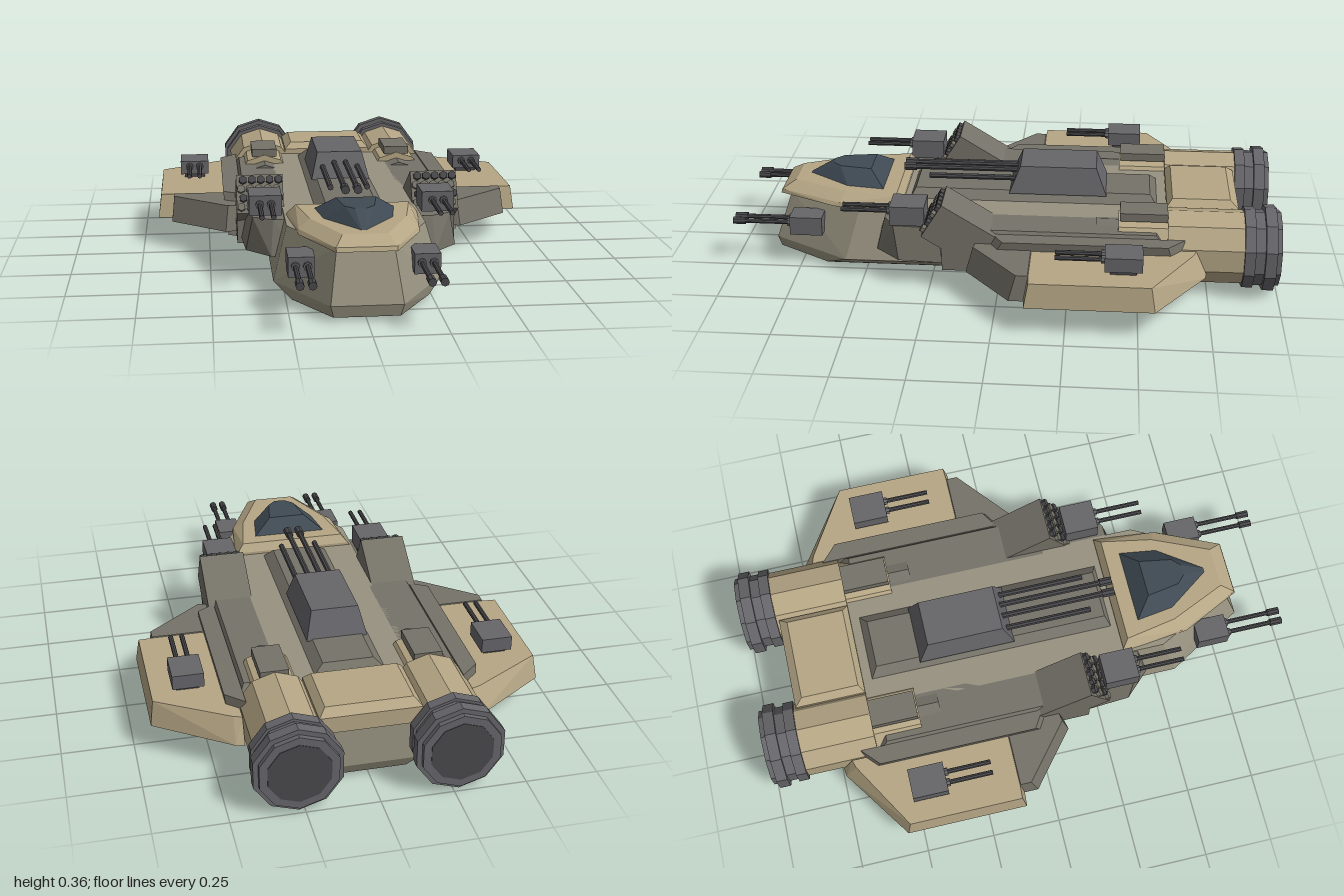
import * as THREE from 'three';
import { ConvexGeometry } from 'three/addons/geometries/ConvexGeometry.js';

const mat = (color) => new THREE.MeshStandardMaterial({ color, flatShading: true });
const HULL = mat(0x97927f), ARMOUR = mat(0x757268), TAN = mat(0xb5a685);
const GUN = mat(0x66666a), DARK = mat(0x48484b), GLASS = mat(0x3f4a54);

export function createModel() {
  const model = new THREE.Group();

  const add = (parent, name, geometry, material, x = 0, y = 0, z = 0) => {
    const mesh = new THREE.Mesh(geometry, material);
    mesh.name = name;
    mesh.position.set(x, y, z);
    parent.add(mesh);
    return mesh;
  };

  // Faceted solid from stacked outlines: levels are [y, [[x, z], ...]]; s = side sign, 0 = both sides
  const facet = (name, material, s, levels) => {
    const pts = [];
    for (const [y, outline] of levels)
      for (const [x, z] of outline)
        for (const k of s ? [s] : [1, -1]) pts.push(new THREE.Vector3(x * k, y, z));
    return add(model, name, new ConvexGeometry(pts), material);
  };

  // Cylinder lying along z between z0 and z1
  const tube = (parent, name, r, x, y, z0, z1, material, sides = 8) =>
    add(parent, name, new THREE.CylinderGeometry(r, r, z1 - z0, sides).rotateX(Math.PI / 2),
      material, x, y, (z0 + z1) / 2);

  const box = (parent, name, w, h, d, x, y, z, material) =>
    add(parent, name, new THREE.BoxGeometry(w, h, d), material, x, y, z);

  // Twin-barrelled turret; z is the front of its housing
  const turret = (name, x, y, z, w, h, d, gap, reach, muzzle) => {
    const g = new THREE.Group();
    g.name = name;
    g.position.set(x, y, z);
    box(g, 'gunHousing', w, h, d, 0, 0, -d / 2, GUN);
    for (const k of [-1, 1]) {
      tube(g, 'barrel', 0.009, k * gap, 0.005, -0.02, reach, DARK);
      tube(g, 'barrelCollar', 0.015, k * gap, 0.005, 0, 0.012, GUN);
      if (muzzle) tube(g, 'muzzle', 0.014, k * gap, 0.005, reach - 0.045, reach, DARK);
    }
    model.add(g);
  };

  // Main hull
  facet('hull', HULL, 0, [
    [0.02, [[0.11, 0.85], [0.235, 0.65], [0.235, -0.6], [0.13, -0.84]]],
    [0.06, [[0.12, 0.86], [0.29, 0.57], [0.29, -0.6], [0.17, -0.86]]],
    [0.24, [[0.095, 0.8], [0.24, 0.52], [0.24, -0.6], [0.16, -0.85]]],
  ]);
  // Dark belly plate
  facet('bellyPlate', DARK, 0, [
    [0.018, [[0.11, 0.848], [0.233, 0.648], [0.233, -0.6], [0.13, -0.838]]],
    [0.024, [[0.11, 0.848], [0.233, 0.648], [0.233, -0.6], [0.13, -0.838]]],
  ]);

  // Cockpit deck and canopy
  facet('cockpitDeck', TAN, 0, [
    [0.235, [[0.1, 0.84], [0.205, 0.62], [0.235, 0.37]]],
    [0.25, [[0.1, 0.835], [0.205, 0.6], [0.225, 0.37]]],
    [0.28, [[0.075, 0.785], [0.165, 0.58], [0.2, 0.39]]],
  ]);
  facet('canopy', GLASS, 0, [
    [0.275, [[0.145, 0.44], [0.125, 0.58], [0.005, 0.75]]],
    [0.33, [[0.07, 0.5], [0.05, 0.62], [0.02, 0.65]]],
  ]);

  // Spine ridge, rear deck panel and main gun turret
  facet('spineRidge', ARMOUR, 0, [
    [0.235, [[0.13, 0.35], [0.13, -0.57]]],
    [0.27, [[0.09, 0.33], [0.09, -0.54]]],
  ]);
  facet('rearDeckPanel', TAN, 0, [
    [0.2, [[0.175, -0.6], [0.175, -0.86]]],
    [0.26, [[0.175, -0.6], [0.175, -0.86]]],
    [0.285, [[0.15, -0.62], [0.15, -0.83]]],
  ]);
  facet('mainTurret', GUN, 0, [
    [0.265, [[0.11, -0.02], [0.11, -0.38]]],
    [0.365, [[0.085, -0.06], [0.085, -0.34]]],
  ]);
  for (const k of [-1, 1]) {
    tube(model, 'mainBarrel', 0.011, k * 0.022, 0.325, -0.1, 0.38, DARK);
    tube(model, 'mainMuzzle', 0.016, k * 0.022, 0.325, 0.335, 0.38, DARK);
    tube(model, 'sideBarrel', 0.011, k * 0.066, 0.31, -0.1, 0.28, DARK);
  }

  for (const s of [-1, 1]) {
    // Side sponson, wing root and forward gun block
    facet('sponson', ARMOUR, s, [
      [0.09, [[0.2, 0.2], [0.4, 0.2], [0.4, -0.6], [0.2, -0.6]]],
      [0.19, [[0.2, 0.2], [0.4, 0.2], [0.4, -0.6], [0.2, -0.6]]],
      [0.24, [[0.22, 0.17], [0.37, 0.17], [0.37, -0.56], [0.22, -0.56]]],
    ]);
    facet('wingRoot', ARMOUR, s, [
      [0.085, [[0.38, 0.1], [0.43, 0.07], [0.43, -0.64], [0.38, -0.67]]],
      [0.23, [[0.38, 0.02], [0.445, -0.02], [0.445, -0.6], [0.38, -0.66]]],
    ]);
    facet('gunBlock', ARMOUR, s, [
      [0.11, [[0.2, 0.46], [0.29, 0.45], [0.375, 0.36], [0.385, 0.2], [0.2, 0.2]]],
      [0.235, [[0.2, 0.42], [0.28, 0.42], [0.35, 0.38], [0.36, 0.22], [0.2, 0.22]]],
    ]);

    // Wing: tan main plate with grey leading section
    facet('wing', TAN, s, [
      [0.11, [[0.4, -0.74], [0.43, -0.735], [0.692, -0.555], [0.692, -0.11], [0.4, -0.09]]],
      [0.198, [[0.4, -0.7], [0.43, -0.69], [0.68, -0.54], [0.68, -0.125], [0.4, -0.11]]],
    ]);
    facet('wingLeadingSection', ARMOUR, s, [
      [0.108, [[0.4, -0.2], [0.64, -0.2], [0.64, -0.055], [0.44, 0.11], [0.4, 0.1]]],
      [0.201, [[0.4, -0.12], [0.63, -0.12], [0.63, -0.08], [0.43, 0.085], [0.4, 0.08]]],
    ]);

    // Missile launcher tilted upward, with staggered tubes on its face
    const launcher = new THREE.Group();
    launcher.name = 'missileLauncher';
    launcher.position.set(s * 0.317, 0.282, 0.235);
    launcher.rotation.x = -0.55;
    box(launcher, 'launcherBox', 0.168, 0.145, 0.24, 0, 0, -0.12, ARMOUR);
    for (let row = 0; row < 4; row++)
      for (let col = 0; col < 5; col++)
        tube(launcher, 'missileTube', 0.015, (col - 2) * 0.032 + (row % 2 ? 0.004 : -0.004),
          (row - 1.5) * 0.034, -0.01, 0.014, row % 2 ? DARK : ARMOUR, 6);
    model.add(launcher);

    // Engine nacelle with intake, top plate and ringed exhaust
    const ex = s * 0.27, ey = 0.16;
    tube(model, 'engineIntake', 0.092, ex, ey, -0.6, -0.345, ARMOUR, 10);
    tube(model, 'engineFrontBody', 0.115, ex, ey, -0.65, -0.425, TAN, 10);
    tube(model, 'engineBody', 0.134, ex, ey, -0.88, -0.6, TAN, 10);
    box(model, 'engineTopPlate', 0.1, 0.03, 0.17, ex, 0.283, -0.515, ARMOUR);
    for (const [r, z0, z1] of [[0.148, -0.908, -0.87], [0.138, -0.945, -0.905], [0.156, -0.982, -0.942], [0.138, -1, -0.98]])
      tube(model, 'exhaustRing', r, ex, ey, z0, z1, GUN, 10);
    tube(model, 'exhaustPlate', 0.11, ex, ey, -1.002, -0.99, DARK, 10);

    // Nose, shoulder and wing guns
    turret('noseGun', s * 0.208, 0.17, 0.78, 0.088, 0.07, 0.12, 0.02, 0.215, true);
    turret('shoulderGun', s * 0.305, 0.278, 0.39, 0.115, 0.072, 0.125, 0.02, 0.18, false);
    turret('wingGun', s * 0.552, 0.24, -0.38, 0.11, 0.052, 0.13, 0.02, 0.17, false);
    box(model, 'wingGunBase', 0.08, 0.03, 0.09, s * 0.552, 0.205, -0.445, DARK);
  }
  return model;
}
